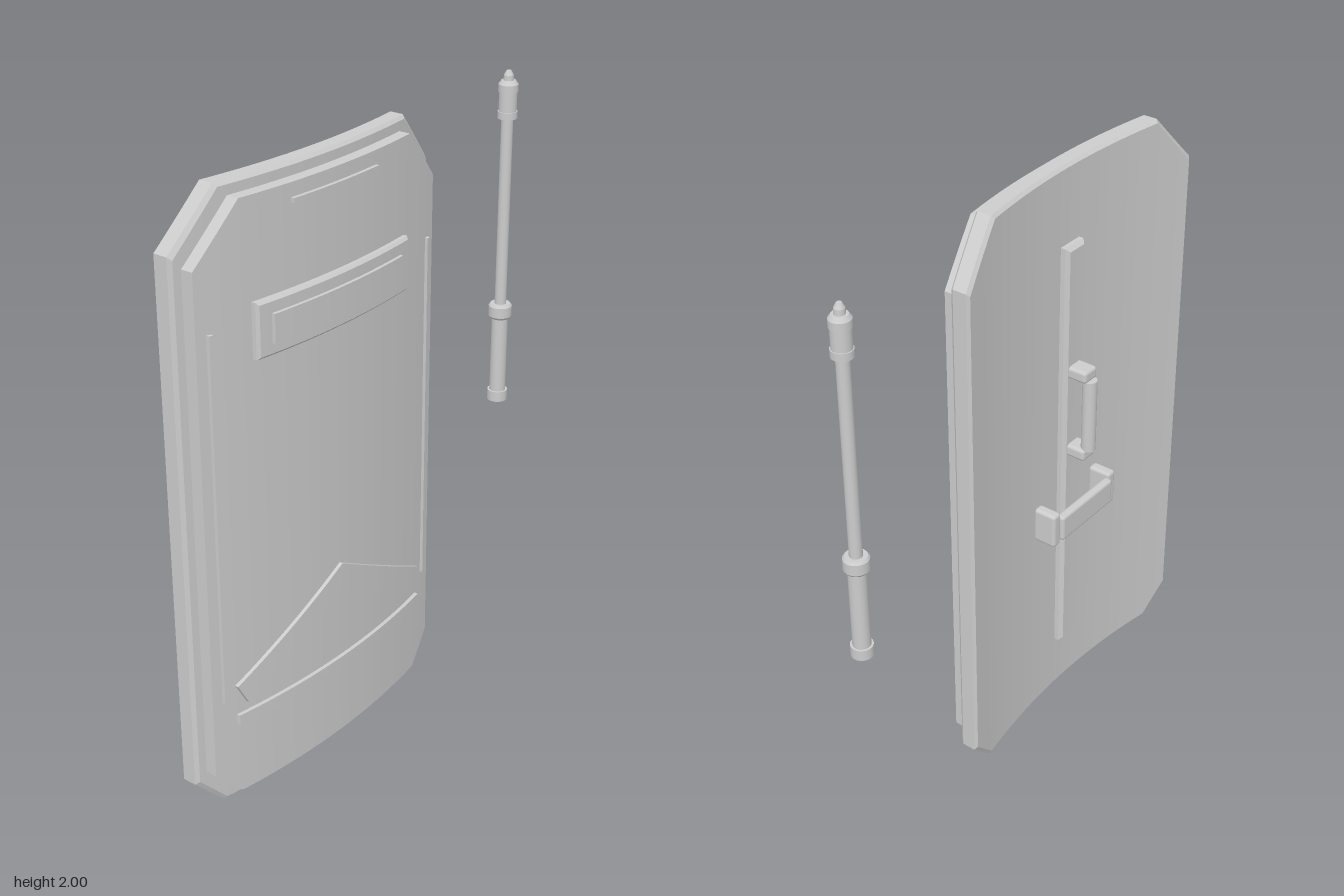
import * as THREE from 'three';
import { RoundedBoxGeometry } from 'three/addons/geometries/RoundedBoxGeometry.js';

const grey = new THREE.MeshStandardMaterial({ color: 0xcccccc });
grey.name = 'grey';

// piecewise-linear lookup in [[x, y], ...]
function lookup(points, x) {
  for (let i = 1; i < points.length; i++) {
    const [x0, y0] = points[i - 1], [x1, y1] = points[i];
    if (x <= x1) return y0 + (y1 - y0) * (x - x0) / (x1 - x0);
  }
  return points[points.length - 1][1];
}

// Plate bent around the vertical axis; top and bottom are heights by distance from its middle
function bentPlate({ x = 0, half, top, bottom, back, front, bevel = 0, steps = 12 }) {
  const asLine = v => (Array.isArray(v) ? v : [[0, v], [half, v]]);
  const topLine = asLine(top), bottomLine = asLine(bottom);
  const stops = new Set();
  for (let i = 0; i <= steps; i++) stops.add(half * i / steps);
  for (const [d] of [...topLine, ...bottomLine]) stops.add(d);
  const side = [...stops].sort((a, b) => a - b);
  const columns = [...side.slice(1).reverse().map(d => -d), ...side];
  const layers = bevel
    ? [[back, bevel], [back + bevel, 0], [front - bevel, 0], [front, bevel]]
    : [[back, 0], [front, 0]];
  const n = layers.length;
  const rings = columns.map(d => {
    const point = ([z, inset], upper) => {
      const px = x + d * (half - inset) / half;
      const y = upper ? lookup(topLine, Math.abs(d)) - inset : lookup(bottomLine, Math.abs(d)) + inset;
      return [px, y, z - 0.2 * px * px];
    };
    return [...layers.map(l => point(l, false)), ...layers.map(l => point(l, true)).reverse()];
  });
  const positions = [];
  const quad = (a, b, c, d) => { for (const p of [a, b, c, a, c, d]) positions.push(...p); };
  for (let i = 0; i + 1 < rings.length; i++) {
    for (let j = 0; j < 2 * n; j++) {
      const k = (j + 1) % (2 * n);
      quad(rings[i][j], rings[i + 1][j], rings[i + 1][k], rings[i][k]);
    }
  }
  const first = rings[0], last = rings[rings.length - 1];
  for (let j = 0; j + 1 < n; j++) {
    const t = 2 * n - 1 - j;
    quad(last[j], last[t], last[t - 1], last[j + 1]);
    quad(first[j], first[j + 1], first[t - 1], first[t]);
  }
  const geometry = new THREE.BufferGeometry();
  geometry.setAttribute('position', new THREE.Float32BufferAttribute(positions, 3));
  geometry.computeVertexNormals();
  return geometry;
}

function add(parent, name, geometry, x = 0, y = 0, z = 0) {
  const mesh = new THREE.Mesh(geometry, grey);
  mesh.name = name;
  mesh.position.set(x, y, z);
  parent.add(mesh);
  return mesh;
}

function createShield() {
  const shield = new THREE.Group();
  shield.name = 'shield';
  const plate = (name, options) => add(shield, name, bentPlate(options));

  // Body and raised front panel with cut corners
  plate('body', {
    half: 0.567, back: -0.012, front: 0.055, bevel: 0.01,
    top: [[0, 2], [0.413, 2], [0.567, 1.83]],
    bottom: [[0, 0], [0.467, 0], [0.567, 0.105]],
  });
  plate('frontPanel', {
    half: 0.532, back: 0.045, front: 0.095,
    top: [[0, 1.96], [0.375, 1.96], [0.532, 1.79]],
    bottom: [[0, 0.043], [0.435, 0.043], [0.532, 0.143]],
  });

  // Viewing port
  plate('portFrame', { half: 0.342, bottom: 1.483, top: 1.655, back: 0.08, front: 0.117, bevel: 0.008 });
  plate('portWindow', { half: 0.29, bottom: 1.522, top: 1.613, back: 0.1, front: 0.128 });

  // Trim strips and chevron
  plate('topStrip', { half: 0.187, bottom: 1.903, top: 1.917, back: 0.08, front: 0.107 });
  plate('bottomStrip', { half: 0.447, bottom: 0.3, top: 0.335, back: 0.08, front: 0.108 });
  for (const side of [-1, 1]) {
    plate('sideStrip', { x: side * 0.49, half: 0.007, bottom: 0.4, top: 1.6, back: 0.08, front: 0.106, steps: 1 });
  }
  plate('chevron', {
    half: 0.449, back: 0.08, front: 0.107,
    top: [[0, 0.678], [0.449, 0.44]],
    bottom: [[0, 0.585], [0.41, 0.367], [0.449, 0.44]],
  });

  // Back spine
  plate('spine', { half: 0.047, bottom: 0.21, top: 1.74, back: -0.04, front: 0, bevel: 0.012, steps: 1 });

  // Upright grip held by two brackets
  add(shield, 'grip', new THREE.CylinderGeometry(0.024, 0.024, 0.26, 20), 0, 1.155, -0.1);
  for (const y of [1.01, 1.303]) {
    add(shield, 'gripBracket', new RoundedBoxGeometry(0.066, 0.043, 0.09, 2, 0.012), 0, y, -0.06);
  }

  // Arm strap on two posts
  add(shield, 'armStrap', new RoundedBoxGeometry(0.28, 0.095, 0.032, 2, 0.012), 0, 0.782, -0.092);
  for (const side of [-1, 1]) {
    add(shield, 'strapPost', new RoundedBoxGeometry(0.04, 0.125, 0.085, 2, 0.012), side * 0.153, 0.782, -0.053);
  }
  return shield;
}

function createBaton() {
  const baton = new THREE.Group();
  baton.name = 'baton';
  // name, lower y, upper y, lower radius, upper radius
  const sections = [
    ['endCap', 0.828, 0.865, 0.035, 0.035],
    ['handle', 0.865, 1.14, 0.028, 0.028],
    ['collar', 1.138, 1.146, 0.034, 0.04],
    ['collar', 1.146, 1.182, 0.04, 0.04],
    ['collar', 1.182, 1.19, 0.04, 0.034],
    ['shaft', 1.19, 1.845, 0.02, 0.02],
    ['headRing', 1.842, 1.866, 0.033, 0.033],
    ['head', 1.866, 1.93, 0.03, 0.03],
    ['headRing', 1.93, 1.955, 0.033, 0.033],
    ['headTop', 1.955, 1.968, 0.033, 0.024],
    ['tip', 1.968, 1.985, 0.017, 0.016],
    ['tip', 1.985, 2, 0.016, 0.008],
  ];
  for (const [name, low, high, r0, r1] of sections) {
    add(baton, name, new THREE.CylinderGeometry(r1, r0, high - low, 24), 0, (low + high) / 2, 0);
  }
  return baton;
}

export function createModel() {
  const model = new THREE.Group();
  model.name = 'shieldAndBaton';
  const shield = createShield();
  shield.position.x = -0.253;
  const baton = createBaton();
  baton.position.set(0.775, 0, -0.028);
  model.add(shield, baton);
  return model;
}
